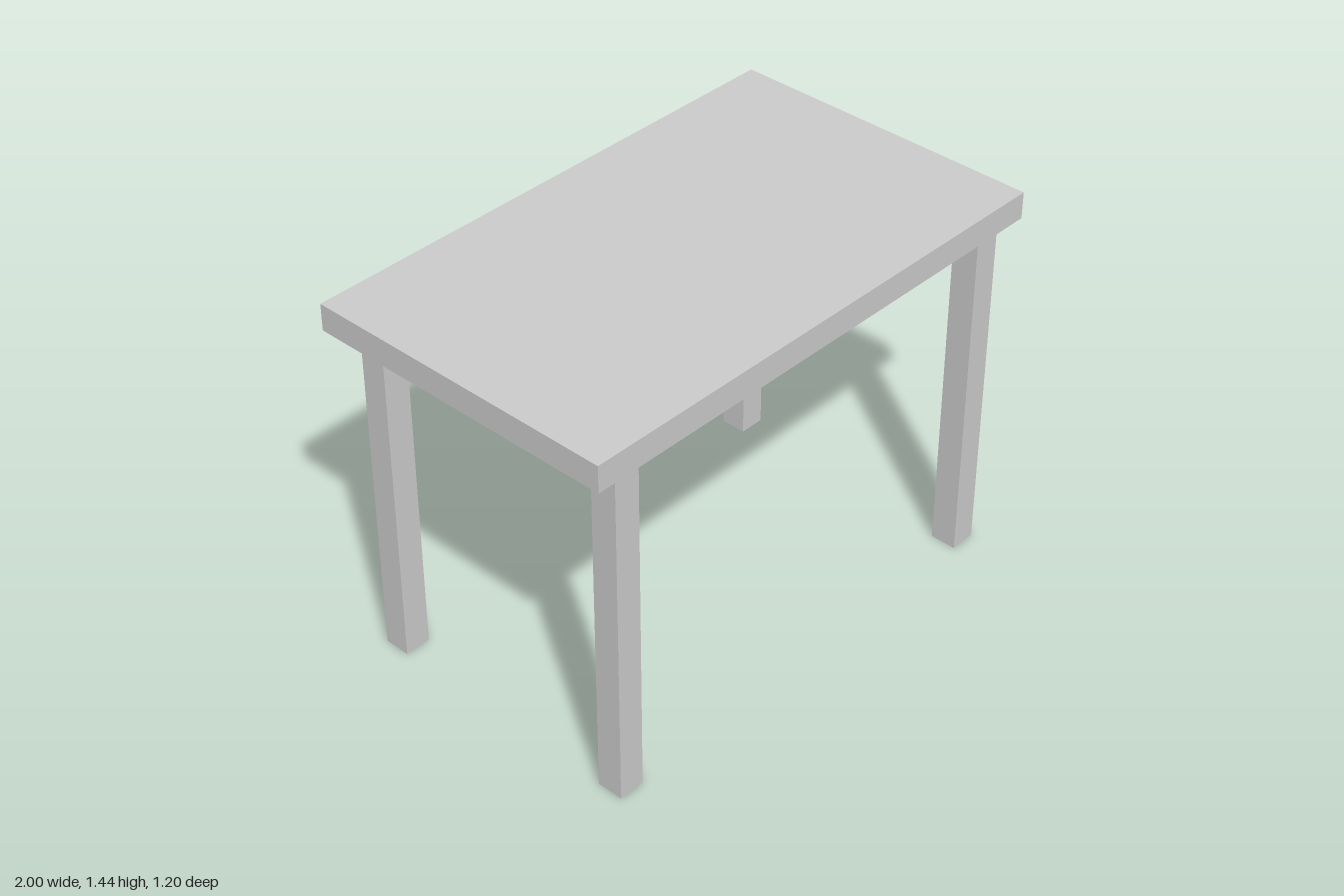
import * as THREE from 'three';

export function createModel() {
  const model = new THREE.Group();
  model.name = 'table';
  const material = new THREE.MeshStandardMaterial({ color: 0xcccccc, flatShading: true });

  // Adds a box whose base rests at height y
  function addBox(name, width, height, depth, x, y, z) {
    const mesh = new THREE.Mesh(new THREE.BoxGeometry(width, height, depth), material);
    mesh.name = name;
    mesh.position.set(x, y + height / 2, z);
    model.add(mesh);
  }

  const legHeight = 1.336;
  const legSize = 0.1;

  // Table top
  addBox('tableTop', 2, 0.1, 1.2, 0, legHeight, 0);

  // Four square legs, set slightly towards the left side
  for (const [side, x] of [['Left', 0.878], ['Right', -0.838]]) {
    for (const [end, z] of [['front', 0.506], ['back', -0.508]]) {
      addBox(`${end}${side}Leg`, legSize, legHeight, legSize, x, 0, z);
    }
  }

  return model;
}
